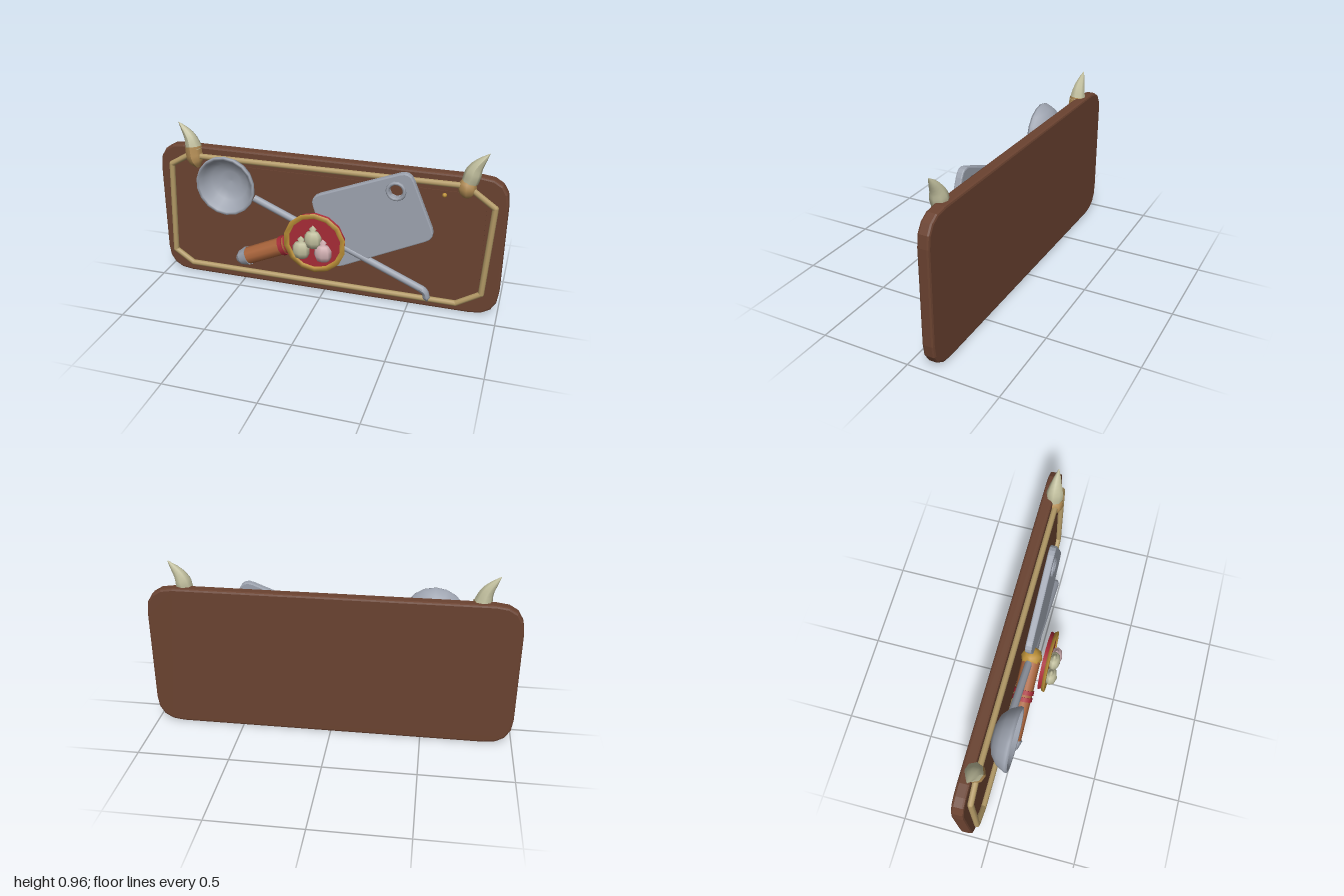
import * as THREE from 'three';

const mat = (name, color) => Object.assign(new THREE.MeshStandardMaterial({ color }), { name });
const V = (x, y, z) => new THREE.Vector3(x, y, z);

// Flat outline with rounded corners cut from any polygon
function roundedShape(pts, r) {
  const s = new THREE.Shape();
  const n = pts.length;
  pts.forEach((p, i) => {
    const c = new THREE.Vector2(...p);
    const prev = new THREE.Vector2(...pts[(i + n - 1) % n]);
    const next = new THREE.Vector2(...pts[(i + 1) % n]);
    const a = c.clone().add(prev.sub(c).setLength(r));
    const b = c.clone().add(next.sub(c).setLength(r));
    if (i === 0) s.moveTo(a.x, a.y); else s.lineTo(a.x, a.y);
    s.quadraticCurveTo(c.x, c.y, b.x, b.y);
  });
  s.closePath();
  return s;
}

const rectPts = (w, y0, y1) => [[-w, y0], [w, y0], [w, y1], [-w, y1]];

// Extruded plate filling z0..z1 including its bevel
function plate(shape, z0, z1, bevel) {
  const g = new THREE.ExtrudeGeometry(shape, {
    depth: z1 - z0 - 2 * bevel, bevelEnabled: bevel > 0, bevelThickness: bevel,
    bevelSize: bevel, bevelOffset: -bevel, bevelSegments: 2, curveSegments: 4,
  });
  return g.translate(0, 0, z0 + bevel);
}

// Straight rod between two points
function rod(a, b, r0, r1 = r0, sides = 8) {
  const d = b.clone().sub(a);
  const g = new THREE.CylinderGeometry(r1, r0, d.length(), sides);
  g.applyQuaternion(new THREE.Quaternion().setFromUnitVectors(V(0, 1, 0), d.clone().normalize()));
  const m = a.clone().add(b).multiplyScalar(0.5);
  return g.translate(m.x, m.y, m.z);
}

// Tube whose radius follows a list of values along the path
function taperedTube(points, radii, segs = 10, sides = 8) {
  const curve = new THREE.CatmullRomCurve3(points);
  const g = new THREE.TubeGeometry(curve, segs, 1, sides, false);
  const p = g.attributes.position;
  const v = V(0, 0, 0);
  for (let i = 0; i <= segs; i++) {
    const c = curve.getPointAt(i / segs);
    const t = (i / segs) * (radii.length - 1);
    const k = Math.min(Math.floor(t), radii.length - 2);
    const r = THREE.MathUtils.lerp(radii[k], radii[k + 1], t - k);
    for (let j = 0; j <= sides; j++) {
      const n = i * (sides + 1) + j;
      v.fromBufferAttribute(p, n).sub(c).multiplyScalar(r).add(c);
      p.setXYZ(n, v.x, v.y, v.z);
    }
  }
  g.computeVertexNormals();
  return g;
}

export function createModel() {
  const wood = mat('dark wood', 0x6a4230);
  const rope = mat('rope', 0xb39a66);
  const steel = mat('steel', 0x9ca2ae);
  const red = mat('red', 0xa62b36);
  const gold = mat('gold', 0xbd9138);
  const cream = mat('cream', 0xbfbd9c);
  const tan = mat('horn base tan', 0xb38d55);
  const grip = mat('handle brown', 0xa8633a);
  const pink = mat('pale pink', 0xcfaeb0);

  const model = new THREE.Group();
  model.name = 'kitchenSign';
  const add = (name, geo, material, parent = model) => {
    const m = new THREE.Mesh(geo, material);
    m.name = name;
    parent.add(m);
    return m;
  };
  const group = (name) => {
    const g = new THREE.Group();
    g.name = name;
    model.add(g);
    return g;
  };

  // Board with a thin raised panel
  add('board', plate(roundedShape(rectPts(1, 0, 0.82), 0.15), -0.155, -0.09, 0.012), wood);
  add('panel', plate(roundedShape(rectPts(0.89, 0.105, 0.725), 0.09), -0.091, -0.085, 0), wood);

  // Rope border
  const border = group('ropeBorder');
  const loop = [[-0.92, 0.70], [-0.81, 0.765], [0.78, 0.77], [0.935, 0.66],
    [0.905, 0.14], [0.77, 0.058], [-0.83, 0.065], [-0.94, 0.14]]
    .map(([x, y]) => V(x, y, -0.076));
  loop.forEach((p, i) => {
    add('ropeLength', rod(p, loop[(i + 1) % loop.length], 0.017), rope, border);
    add('ropeJoint', new THREE.SphereGeometry(0.017, 8, 6).translate(p.x, p.y, p.z), rope, border);
  });

  // Horns at the upper corners
  const rightHorn = group('rightHorn');
  add('hornBase', taperedTube([V(-0.755, 0.695, -0.08), V(-0.775, 0.76, -0.085), V(-0.783, 0.82, -0.09)],
    [0.012, 0.042, 0.05, 0.05, 0.05]), tan, rightHorn);
  add('hornTip', taperedTube([V(-0.78, 0.80, -0.09), V(-0.80, 0.87, -0.09), V(-0.865, 0.955, -0.09)],
    [0.051, 0.042, 0.031, 0.018, 0.001]), cream, rightHorn);
  const leftHorn = group('leftHorn');
  add('hornBase', new THREE.SphereGeometry(1, 8, 6).scale(0.05, 0.058, 0.05)
    .translate(0.78, 0.757, -0.085), tan, leftHorn);
  add('hornTip', taperedTube([V(0.79, 0.79, -0.09), V(0.815, 0.87, -0.09), V(0.88, 0.955, -0.09)],
    [0.044, 0.047, 0.034, 0.02, 0.001]), cream, leftHorn);

  // Ladle: hollow bowl, long handle, bent end
  const ladle = group('ladle');
  const bowl = [[0, -0.07], [0.06, -0.067], [0.11, -0.05], [0.15, -0.015], [0.168, 0.02], [0.175, 0.035],
    [0.172, 0.048], [0.157, 0.046], [0.145, 0.015], [0.11, -0.022], [0.06, -0.042], [0, -0.047]]
    .map(([x, y]) => new THREE.Vector2(x, y));
  add('ladleBowl', new THREE.LatheGeometry(bowl, 18).rotateX(Math.PI / 2).translate(-0.54, 0.65, 0), steel, ladle);
  add('ladleHandle', rod(V(-0.39, 0.575, -0.015), V(0.59, 0.15, -0.015), 0.021), steel, ladle);
  add('ladleEnd', taperedTube([V(0.57, 0.159, -0.015), V(0.603, 0.135, -0.018), V(0.618, 0.07, -0.026)],
    [0.021, 0.022, 0.02, 0.02, 0.001], 12), steel, ladle);

  // Cleaver: blade with a ringed hole
  const cleaver = group('cleaver');
  const blade = roundedShape([[0.08, 0.205], [0.645, 0.475], [0.49, 0.845], [-0.06, 0.63]], 0.06);
  const hole = new THREE.Path();
  hole.absarc(0.42, 0.725, 0.038, 0, Math.PI * 2, true);
  blade.holes.push(hole);
  add('blade', plate(blade, -0.038, 0, 0.007), steel, cleaver);
  add('bladeRing', new THREE.TorusGeometry(0.046, 0.01, 6, 14).translate(0.42, 0.725, 0.001), steel, cleaver);

  // Cleaver handle with red bands, steel pommel and gold collar
  const from = V(-0.45, 0.2, -0.008);
  const to = V(0.0, 0.405, -0.008);
  const along = (t) => from.clone().lerp(to, t);
  add('handle', rod(from, to, 0.05, 0.053, 10), grip, cleaver);
  for (const t of [0.49, 0.57]) add('handleBand', rod(along(t), along(t + 0.05), 0.058, 0.058, 10), red, cleaver);
  add('pommel', rod(along(-0.07), along(0.03), 0.043, 0.058, 8), steel, cleaver);
  add('pommelTip', rod(along(-0.12), along(-0.07), 0.022, 0.043, 8), steel, cleaver);
  add('collar', new THREE.SphereGeometry(0.062, 8, 6).translate(0, 0.405, -0.01), gold, cleaver);

  // Round emblem: red disc inside a gold rim
  const emblem = group('emblem');
  emblem.position.set(0, 0.405, 0);
  add('disc', new THREE.CylinderGeometry(0.155, 0.168, 0.03, 14).rotateX(Math.PI / 2).translate(0, 0, 0.082), red, emblem);
  const rim = [[0.147, 0.088], [0.17, 0.088], [0.178, 0.104], [0.15, 0.106], [0.147, 0.088]]
    .map(([x, y]) => new THREE.Vector2(x, y));
  add('rim', new THREE.LatheGeometry(rim, 14).rotateX(Math.PI / 2), gold, emblem);

  // Three dumplings with pointed knobs
  const dumpling = [[0, -0.055], [0.036, -0.05], [0.05, -0.02], [0.048, 0.015], [0.032, 0.038],
    [0.012, 0.045], [0.022, 0.057], [0, 0.078]].map(([x, y]) => new THREE.Vector2(x, y));
  for (const [x, y, m] of [[-0.002, 0.037, cream], [-0.07, -0.035, cream], [0.055, -0.038, pink]]) {
    add('dumpling', new THREE.LatheGeometry(dumpling, 8).scale(1, 1, 0.7).translate(x, y, 0.12), m, emblem);
  }

  // Small brass nail
  add('nail', new THREE.SphereGeometry(0.013, 8, 6).translate(0.665, 0.7, -0.083), gold);

  return model;
}
